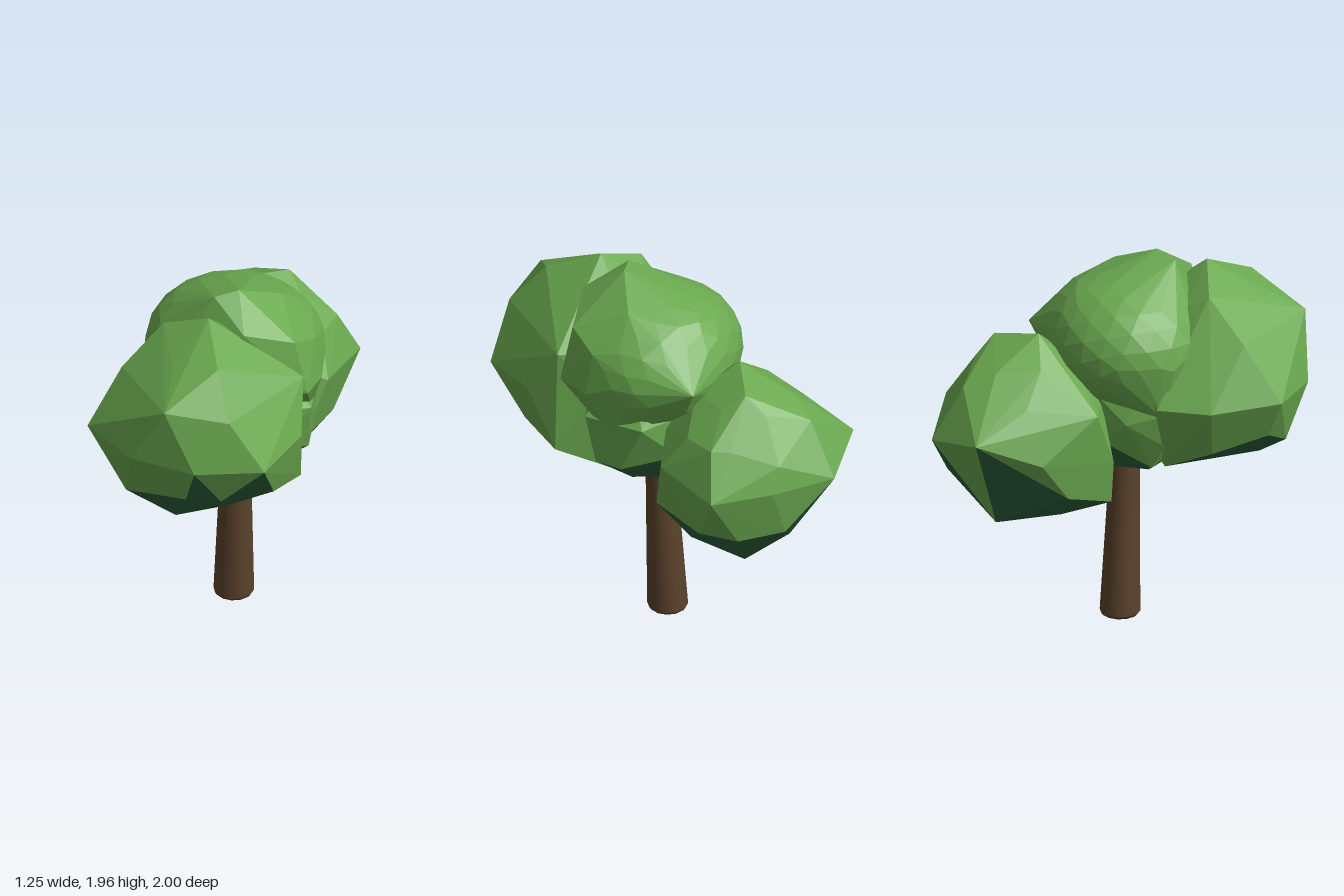
import * as THREE from 'three';
import { ConvexGeometry } from 'three/addons/geometries/ConvexGeometry.js';

const leaf = new THREE.MeshStandardMaterial({ color: 0x6aa84f, flatShading: true });
leaf.name = 'leafGreen';
const shade = new THREE.MeshStandardMaterial({ color: 0x2c5e3b, flatShading: true });
shade.name = 'undersideGreen';
const bark = new THREE.MeshStandardMaterial({ color: 0x5a422b });
bark.name = 'barkBrown';

// Faceted clump: an icosphere stretched to an ellipsoid, with a few knobs pushed out of it.
// Faces whose normal dips below the limit take the darker green.
function clump(name, centre, radii, detail, limit, knobs) {
  const ico = new THREE.IcosahedronGeometry(1, detail).getAttribute('position');
  const seen = new Map();
  for (let i = 0; i < ico.count; i++) {
    const v = new THREE.Vector3().fromBufferAttribute(ico, i);
    const key = v.toArray().map((n) => Math.round(n * 1000)).join();
    v.multiply(new THREE.Vector3(...radii)).add(new THREE.Vector3(...centre));
    seen.set(key, v);
  }
  const points = [...seen.values(), ...knobs.map((k) => new THREE.Vector3(...k))];
  const geo = new ConvexGeometry(points);
  const normal = geo.getAttribute('normal');
  for (let i = 0; i < normal.count; i += 3) {
    geo.addGroup(i, 3, normal.getY(i) < limit ? 1 : 0);
  }
  const mesh = new THREE.Mesh(geo, [leaf, shade]);
  mesh.name = name;
  return mesh;
}

// Tapered trunk on a small bevelled foot, leaning slightly
function trunk() {
  const group = new THREE.Group();
  group.name = 'trunk';
  const lean = new THREE.Matrix4().set(
    1, 0.017, 0, 0.046,
    0, 1, 0, 0,
    0, 0.04, 1, 0.022,
    0, 0, 0, 1,
  );
  const section = (name, top, bottom, y, height) => {
    const geo = new THREE.CylinderGeometry(top, bottom, height, 12);
    geo.translate(0, y + height / 2, 0).applyMatrix4(lean);
    const mesh = new THREE.Mesh(geo, bark);
    mesh.name = name;
    group.add(mesh);
  };
  section('trunkFoot', 0.104, 0.094, 0, 0.015);
  section('trunkShaft', 0.072, 0.104, 0.015, 0.985);
  return group;
}

export function createModel() {
  const tree = new THREE.Group();
  tree.name = 'tree';
  tree.add(
    trunk(),
    clump('frontFoliage', [-0.05, 1.36, 0.49], [0.44, 0.47, 0.42], 1, -0.5, [
      [-0.63, 1.33, 0.63], [-0.04, 1.31, 1], [0.31, 1.3, 0.92], [-0.2, 1.63, 0.94],
      [-0.38, 1.31, 0.88], [0.13, 1.58, 0.92], [-0.03, 1.92, 0.47], [-0.27, 1.82, 0.38],
      [-0.47, 1.61, 0.49], [0.45, 1.58, 0.43], [0.46, 1.33, 0.6], [0.44, 1, 0.45],
      [-0.1, 1.07, 0.86], [0.08, 1.07, 0.86], [0.33, 1.05, 0.7], [-0.17, 0.87, 0.7],
      [0.06, 0.78, 0.44], [0.22, 0.84, 0.25], [-0.53, 1.12, 0.6], [-0.42, 1.03, 0.74],
      [-0.45, 1.03, 0.32], [-0.31, 0.94, 0.12], [-0.56, 1.3, 0.27], [-0.4, 1.3, 0.04],
      [0.05, 1.79, 0.75],
    ]),
    clump('backFoliage', [0.11, 1.12, -0.48], [0.42, 0.44, 0.42], 1, -0.5, [
      [0.62, 1.11, -0.6], [0.08, 1.12, -1], [-0.26, 1.2, -0.9], [0.38, 1.12, -0.82],
      [0.05, 1.4, -0.84], [0.06, 1.62, -0.42], [0.26, 1.57, -0.58], [0.51, 1.35, -0.53],
      [0.3, 0.62, -0.6], [0.13, 0.62, -0.43], [0, 0.64, -0.68], [0.3, 0.645, -0.28],
      [0.5, 0.83, -0.45], [0.46, 0.83, -0.66], [0.28, 0.85, -0.83], [0.38, 0.84, -0.12],
      [-0.37, 1.08, -0.58], [-0.33, 0.86, -0.42], [-0.3, 0.79, -0.17], [-0.33, 1.02, -0.17],
      [-0.355, 1.3, -0.27], [0.5, 1.15, -0.22], [-0.18, 0.71, -0.4], [0.12, 0.79, -0.04],
    ]),
    clump('topFoliage', [0.06, 1.53, 0.06], [0.46, 0.345, 0.41], 3, -0.85, [
      [0.1, 1.96, 0.25], [-0.02, 1.94, 0.3], [0.3, 1.86, 0.1], [0.48, 1.67, 0.2],
      [0.52, 1.45, 0.22], [0.47, 1.46, 0.4], [0.4, 1.74, 0.37], [0.15, 1.82, 0.46],
      [0.38, 1.55, -0.34], [0.35, 1.42, -0.28], [0.1, 1.8, -0.2], [0.45, 1.19, 0.1],
      [-0.4, 1.5, 0.13], [-0.36, 1.22, 0.1],
    ]),
    clump('lowerFoliage', [0.06, 1.18, 0.1], [0.38, 0.38, 0.33], 1, -0.5, [
      [0.45, 1.02, 0.05], [0.45, 1.02, 0.2], [0.47, 1.28, 0.25], [0.47, 1.3, -0.09],
      [0.1, 0.8, 0.08], [-0.38, 1.25, 0.13], [-0.35, 1.07, 0.1], [-0.28, 0.93, 0.06],
    ]),
  );
  return tree;
}
